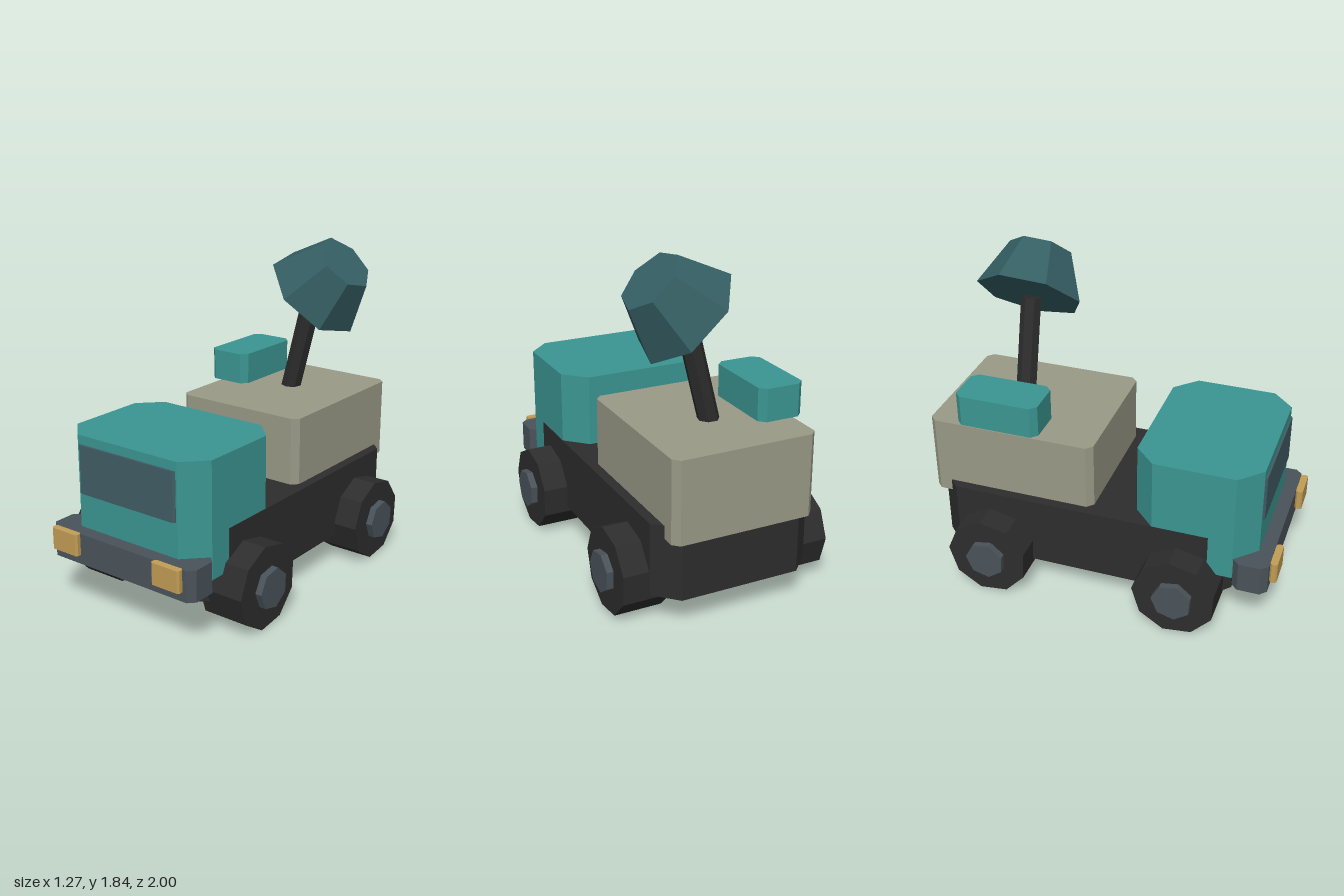
import * as THREE from 'three';

export function createModel() {
  const model = new THREE.Group();
  model.name = 'truck';

  const mat = (name, color) => {
    const m = new THREE.MeshStandardMaterial({ color });
    m.name = name;
    return m;
  };
  const teal = mat('teal paint', 0x3a9692);
  const beige = mat('beige paint', 0x9a9a87);
  const dark = mat('dark rubber', 0x2d2d2e);
  const grey = mat('grey metal', 0x4a535a);
  const gold = mat('headlight gold', 0xc29d55);
  const glass = mat('window glass', 0x415d64);
  const dishPaint = mat('dish paint', 0x355f64);

  const add = (parent, name, geometry, material) => {
    const mesh = new THREE.Mesh(geometry, material);
    mesh.name = name;
    parent.add(mesh);
    return mesh;
  };

  // Box whose four upright corners are cut by c
  const chamferBox = (name, material, [x0, x1], [y0, y1], [z0, z1], c) => {
    const outline = [
      [x0 + c, z0], [x1 - c, z0], [x1, z0 + c], [x1, z1 - c],
      [x1 - c, z1], [x0 + c, z1], [x0, z1 - c], [x0, z0 + c],
    ].map(([x, z]) => new THREE.Vector2(x, -z));
    const geo = new THREE.ExtrudeGeometry(new THREE.Shape(outline), { depth: y1 - y0, bevelEnabled: false });
    geo.rotateX(-Math.PI / 2).translate(0, y0, 0);
    return add(model, name, geo, material);
  };

  // Faceted cylinder or frustum with flat normals
  const facets = (rTop, rBottom, height, sides, start = 0) => {
    const geo = new THREE.CylinderGeometry(rTop, rBottom, height, sides, 1, false, start).toNonIndexed();
    geo.computeVertexNormals();
    return geo;
  };

  // Body
  chamferBox('chassis', dark, [-0.455, 0.455], [0.175, 0.575], [-0.96, 0.74], 0.12);
  chamferBox('cab', teal, [-0.452, 0.452], [0.34, 0.98], [0.19, 0.88], 0.12);
  chamferBox('windshield', glass, [-0.322, 0.322], [0.66, 0.93], [0.87, 0.892], 0.01);
  chamferBox('cargoBox', beige, [-0.4, 0.4], [0.505, 0.957], [-1, -0.045], 0.035);
  chamferBox('roofUnit', teal, [-0.43, -0.175], [0.982, 1.16], [-0.82, -0.347], 0.035);
  chamferBox('bumper', grey, [-0.482, 0.482], [0.295, 0.467], [0.765, 0.958], 0.035);
  for (const [name, x] of [['rightHeadlight', -0.345], ['leftHeadlight', 0.342]]) {
    chamferBox(name, gold, [x - 0.09, x + 0.09], [0.355, 0.475], [0.96, 1], 0.01);
  }

  // Wheels with hubs, the right pair turned half round
  const tyreGeo = facets(0.235, 0.235, 0.265, 9).rotateZ(Math.PI / 2).rotateX(-0.05);
  const hubGeo = facets(0.113, 0.113, 0.1, 7).rotateZ(Math.PI / 2).rotateX(-0.05);
  for (const [end, z] of [['front', 0.48], ['rear', -0.61]]) {
    for (const side of [1, -1]) {
      const wheel = new THREE.Group();
      wheel.name = end + (side > 0 ? 'Left' : 'Right') + 'Wheel';
      add(wheel, 'tyre', tyreGeo, dark).position.x = 0.463;
      add(wheel, 'hub', hubGeo, grey).position.x = 0.583;
      wheel.position.set(0, 0.235, z);
      if (side < 0) wheel.rotation.y = Math.PI;
      model.add(wheel);
    }
  }

  // Leaning mast and tilted dish
  const mast = add(model, 'mast', facets(0.058, 0.058, 0.64, 7), dark);
  mast.position.set(0.06, 1.213, -0.585);
  mast.rotation.z = -0.245;

  const dish = add(model, 'dish', facets(0.18, 0.3, 0.275, 7, -0.05), dishPaint);
  dish.position.set(0.237, 1.628, -0.597);
  dish.rotation.z = -0.77;

  return model;
}
